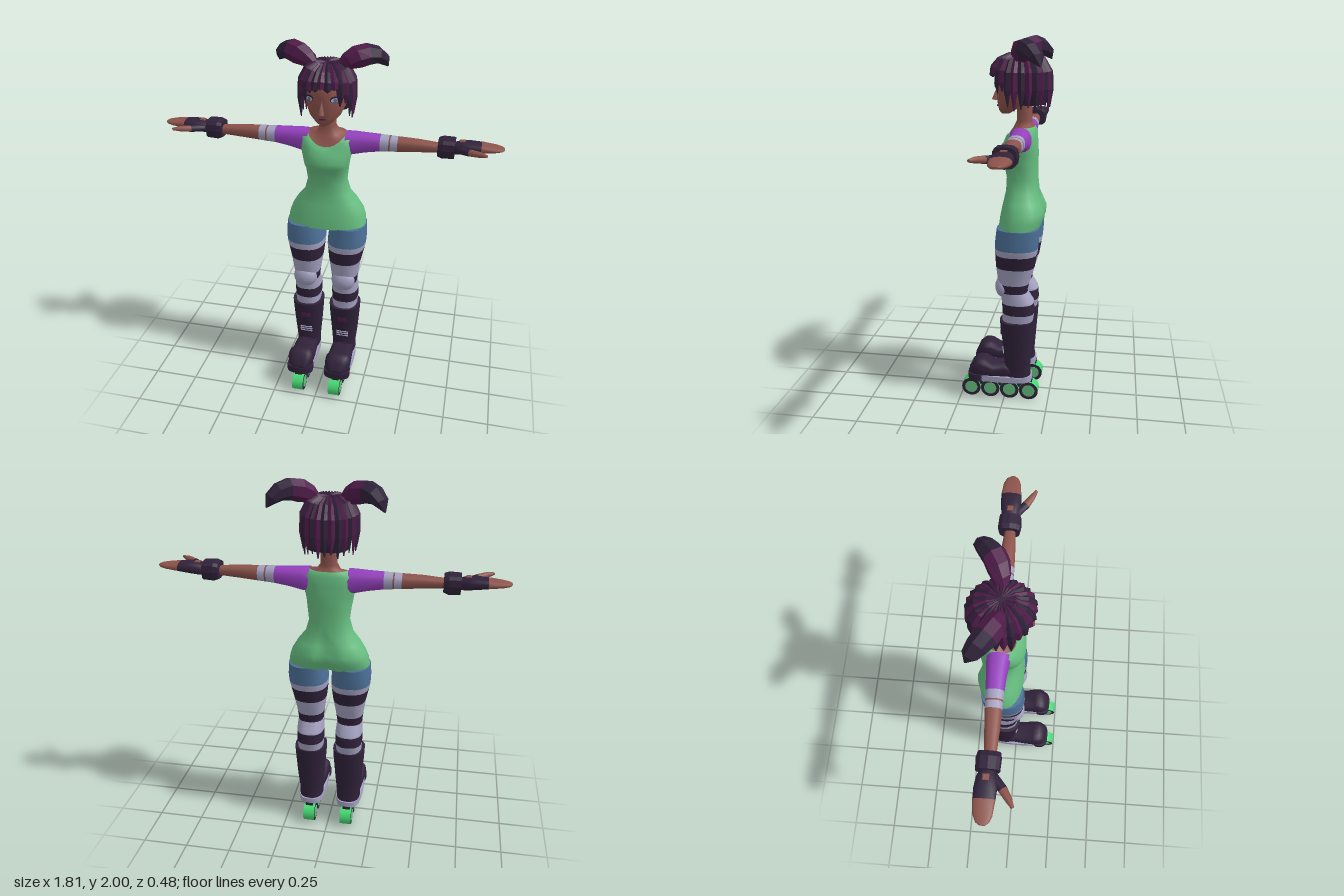
import * as THREE from 'three';

const mat = (name, color) => Object.assign(new THREE.MeshStandardMaterial({ color }), { name });
const M = {
  skin: mat('skin brown', 0x8c534b),
  green: mat('suit green', 0x66bd80),
  purple: mat('sleeve purple', 0x9540bd),
  blue: mat('shorts blue', 0x4d7199),
  lav: mat('pale lavender', 0xa3a1c0),
  dark: mat('dark plum', 0x30223a),
  wine: mat('hair burgundy', 0x501c4a),
  wheel: mat('wheel green', 0x45d872),
};
const V = (x, y, z) => new THREE.Vector3(x, y, z);

// Closed skin over a list of rings; one material per ring interval.
function skinMesh(name, rings, mats, flat = false) {
  const pos = [], idx = [], n = rings[0].length, used = [...new Set(mats)];
  const geo = new THREE.BufferGeometry();
  rings.forEach(r => r.forEach(p => pos.push(p.x, p.y, p.z)));
  const cap = (ring, flip) => {
    const b = pos.length / 3;
    const c = ring.reduce((a, p) => a.add(p), V(0, 0, 0)).divideScalar(n);
    [...ring, c].forEach(p => pos.push(p.x, p.y, p.z));
    for (let i = 0; i < n; i++) {
      const j = (i + 1) % n;
      idx.push(b + n, b + (flip ? j : i), b + (flip ? i : j));
    }
  };
  mats.forEach((m, k) => {
    const start = idx.length;
    if (k === 0) cap(rings[0], true);
    for (let i = 0; i < n; i++) {
      const a = k * n + i, b = k * n + (i + 1) % n;
      idx.push(a, b, b + n, a, b + n, a + n);
    }
    if (k === mats.length - 1) cap(rings[k + 1], false);
    geo.addGroup(start, idx.length - start, used.indexOf(m));
  });
  // Turn every face outward by the sign of the enclosed volume.
  let vol = 0;
  const P = i => V(pos[3 * i], pos[3 * i + 1], pos[3 * i + 2]);
  for (let i = 0; i < idx.length; i += 3) vol += P(idx[i]).dot(P(idx[i + 1]).cross(P(idx[i + 2])));
  if (vol < 0) for (let i = 0; i < idx.length; i += 3) [idx[i], idx[i + 1]] = [idx[i + 1], idx[i]];
  geo.setAttribute('position', new THREE.Float32BufferAttribute(pos, 3));
  geo.setIndex(idx);
  const out = flat ? geo.toNonIndexed() : geo;
  out.computeVertexNormals();
  if (used.length === 1) out.clearGroups();
  const mesh = new THREE.Mesh(out, used.length === 1 ? used[0] : used);
  mesh.name = name;
  return mesh;
}

// Loft along an axis. Section: [s, u0, u1, v0, v1]; bands: [end, material].
function loft(name, axis, secs, bands, { p = 2.4, n = 20, warp = q => q, flat = false } = {}) {
  const dir = Math.sign(secs[secs.length - 1][0] - secs[0][0]), rows = [];
  secs.forEach((s, i) => {
    rows.push(s);
    const t = secs[i + 1];
    if (t) bands.forEach(([e]) => {
      const k = (e - s[0]) / (t[0] - s[0]);
      if (k > 0.001 && k < 0.999) rows.push(s.map((a, j) => a + (t[j] - a) * k));
    });
  });
  const rings = rows.map(([s, u0, u1, v0, v1, dip = 0]) => Array.from({ length: n }, (_, i) => {
    const a = (i / n) * Math.PI * 2, f = c => Math.sign(c) * Math.abs(c) ** (2 / p);
    const u = (u0 + u1) / 2 + f(Math.cos(a)) * (u1 - u0) / 2;
    const v = (v0 + v1) / 2 + f(Math.sin(a)) * (v1 - v0) / 2;
    return warp(axis === 'y' ? V(u, s, v) : axis === 'x' ? V(s, u, v) : V(u, v, s), dip, (v0 + v1) / 2);
  }));
  const mats = rows.slice(1).map((r, i) => {
    const mid = (r[0] + rows[i][0]) / 2;
    return (bands.find(([e]) => dir * (mid - e) < 0) || bands[bands.length - 1])[1];
  });
  return skinMesh(name, rings, mats, flat);
}

// Tapered lock swept along a curve; radii: [sideways, thickness] per point.
function sweep(name, pts, radii, side, mats, n = 6, flat = true) {
  const curve = new THREE.CatmullRomCurve3(pts);
  const rings = radii.map(([w, t], k) => {
    const u = k / (radii.length - 1), c = curve.getPoint(u);
    const out = curve.getTangent(u).cross(side).normalize();
    return Array.from({ length: n }, (_, i) => {
      const a = (i / n) * Math.PI * 2;
      return c.clone().addScaledVector(side, Math.cos(a) * w).addScaledVector(out, Math.sin(a) * t);
    });
  });
  return skinMesh(name, rings, mats, flat);
}

function place(name, geo, m, x, y, z) {
  const mesh = new THREE.Mesh(geo, m);
  mesh.name = name;
  mesh.position.set(x, y, z);
  return mesh;
}

// Mirrored copy across x, with the winding put right.
function mirror(mesh) {
  mesh.updateMatrix();
  const g = mesh.geometry.clone().applyMatrix4(mesh.matrix).scale(-1, 1, 1);
  if (!g.index) g.setIndex([...Array(g.attributes.position.count).keys()]);
  const ix = g.index.array;
  for (let i = 0; i < ix.length; i += 3) [ix[i], ix[i + 1]] = [ix[i + 1], ix[i]];
  return place(mesh.name.replace('left', 'right'), g, mesh.material, 0, 0, 0);
}

function buildLeg() {
  const parts = [loft('leftLeg', 'y', [
    [1.02, .02, .22, -.19, .04], [.95, .012, .225, -.187, .048], [.9, .009, .222, -.182, .05],
    [.8, .02, .2, -.165, .045], [.72, .032, .187, -.14, .035], [.66, .04, .18, -.125, .02],
    [.6, .034, .185, -.162, .015], [.54, .034, .185, -.167, .01], [.46, .04, .18, -.155, .01],
  ], [[.91, M.blue], [.875, M.lav], [.8, M.dark], [.705, M.lav], [.655, M.dark], [.59, M.lav], [.53, M.dark], [0, M.lav]])];
  const knee = place('leftKneePad', new THREE.SphereGeometry(1, 14, 10), M.lav, .11, .68, .005);
  knee.scale.set(.068, .062, .046);
  // Boot shaft, foot and sole
  parts.push(knee,
    loft('leftBootShaft', 'y', [
      [.485, .02, .2, -.165, .025], [.43, .023, .197, -.162, .02], [.3, .033, .187, -.152, .004],
      [.2, .042, .176, -.145, 0], [.14, .042, .177, -.15, .01]], [[0, M.dark]]),
    loft('leftBootFoot', 'z', [
      [-.1, .048, .172, .14, .19], [.0, .045, .175, .13, .225], [.06, .04, .18, .13, .212],
      [.11, .037, .185, .13, .24], [.15, .038, .184, .13, .24], [.18, .05, .17, .135, .215],
      [.2, .075, .145, .14, .17]], [[1, M.dark]], { p: 2.8 }),
    loft('leftSole', 'y', [[.118, .036, .184, -.158, .2], [.152, .036, .184, -.158, .2]], [[0, M.lav]], { p: 3.2 }),
    loft('leftToeGuard', 'y', [[.116, .034, .187, .1, .206], [.156, .034, .187, .1, .206]], [[0, M.dark]], { p: 2.6 }),
    place('leftWheelFrame', new THREE.BoxGeometry(.042, .055, .36), M.dark, .11, .095, .022));
  // Laces and patches
  [.285, .3, .315].forEach(y => parts.push(place('leftBootLace', new THREE.BoxGeometry(.07, .006, .008), M.lav, .11, y, y * .12 - .033)));
  [[.41, .016], [.215, .001]].forEach(([y, z]) => parts.push(place('leftBootPatch', new THREE.BoxGeometry(.05, .028, .008), M.wine, .11, y, z)));
  // Four wheels in line
  const tyre = new THREE.CylinderGeometry(.054, .054, .064, 20).rotateZ(Math.PI / 2);
  const hub = new THREE.CylinderGeometry(.036, .036, .068, 16).rotateZ(Math.PI / 2);
  [.19, .08, -.03, -.14].forEach(z => parts.push(
    place('leftWheel', tyre, [M.wheel, M.dark, M.dark], .108, .054, z),
    place('leftWheelHub', hub, M.green, .108, .054, z)));
  return parts;
}

function buildArm() {
  return [
    loft('leftArm', 'x', [
      [.1, 1.42, 1.548, -.14, -.02], [.14, 1.428, 1.548, -.14, -.028], [.2, 1.442, 1.545, -.135, -.035],
      [.28, 1.455, 1.542, -.13, -.04], [.37, 1.462, 1.538, -.125, -.042], [.47, 1.47, 1.535, -.118, -.045],
      [.59, 1.478, 1.525, -.108, -.052],
    ], [[.28, M.purple], [.325, M.lav], [.333, M.skin], [.37, M.lav], [1, M.skin]], { n: 14 }),
    loft('leftWristCuff', 'x', [[.575, 1.462, 1.548, -.138, -.03], [.6, 1.452, 1.557, -.145, -.025], [.66, 1.455, 1.555, -.142, -.028]],
      [[1, M.dark]], { p: 3, n: 12, flat: true }),
    loft('leftHand', 'x', [
      [.65, 1.475, 1.53, -.118, -.05], [.69, 1.478, 1.545, -.135, -.04], [.74, 1.485, 1.545, -.142, -.034],
      [.8, 1.495, 1.54, -.142, -.038], [.86, 1.503, 1.532, -.135, -.045], [.892, 1.508, 1.527, -.12, -.058],
      [.905, 1.512, 1.523, -.1, -.075]], [[.79, M.dark], [1, M.skin]], { n: 14 }),
    sweep('leftThumb', [V(.68, 1.505, -.06), V(.74, 1.515, -.01), V(.785, 1.522, .02), V(.82, 1.525, .04)],
      [[.022, .02], [.022, .018], [.017, .015], [.008, .007]], V(-.6, 0, .8), [M.dark, M.skin, M.skin], 8, false),
    place('leftHandOpening', new THREE.BoxGeometry(.028, .006, .03), M.skin, .695, 1.544, -.088),
  ];
}

// Eye, brow and bunch of hair for one side of the head
function buildHeadSide() {
  const parts = [];
  const disc = (name, m, rx, ry, x, y, z) => {
    const d = place(name, new THREE.CircleGeometry(1, 16), m, x, y, z);
    d.scale.set(rx, ry, 1);
    d.rotation.y = .6;
    parts.push(d);
  };
  disc('leftEyeLash', M.dark, .028, .016, .065, 1.757, .047);
  disc('leftEye', M.lav, .023, .011, .0655, 1.754, .049);
  disc('leftIris', M.blue, .009, .01, .0665, 1.754, .051);
  parts.push(sweep('leftPigtail',
    [V(.06, 1.89, -.06), V(.12, 1.925, -.08), V(.19, 1.945, -.115), V(.25, 1.925, -.165), V(.285, 1.87, -.2)],
    [[.02, .02], [.045, .045], [.058, .058], [.058, .055], [.052, .045], [.04, .034], [.004, .004]],
    V(.57, 0, .82), [M.wine, M.wine, M.wine, M.dark, M.dark, M.dark], 7));
  return parts;
}

function buildHair() {
  const hair = new THREE.Group();
  hair.name = 'hair';
  hair.add(loft('hairCap', 'y', [
    [1.66, -.1, .1, -.2, -.06], [1.72, -.122, .122, -.215, -.03], [1.79, -.128, .128, -.208, .005],
    [1.825, -.128, .128, -.195, .065], [1.875, -.1, .1, -.16, .05], [1.91, -.05, .05, -.11, 0]],
    [[0, M.dark]], { p: 2.1, n: 16, flat: true }));
  // Locks fan out from the crown and hang down, short over the face
  const count = 26;
  for (let i = 0; i < count; i++) {
    const a = (i / count) * Math.PI * 2, sx = Math.sin(a), cz = Math.cos(a);
    const off = Math.min(a, Math.PI * 2 - a);
    const tip = (off < .2 ? 1.815 : off < .7 ? 1.785 : off < 1.1 ? 1.72 : 1.635) + (i % 3) * .01;
    const at = (k, y) => V(sx * .132 * k, y, -.07 + cz * (cz > 0 ? .145 : .148) * k);
    const low = Math.min(1, (1.86 - tip) / .2);
    hair.add(sweep('hairLock',
      [at(.1, 1.905), at(.5, 1.898), at(.9, 1.86), at(1.04, 1.84 - .08 * low), at(.98 + .03 * low, tip)],
      [[.008, .008], [.016, .018], [.024, .02], [.026, .018], [.02, .014], [.003, .003]],
      V(cz, 0, -sx), Array(5).fill(i % 2 ? M.dark : M.wine), 4));
  }
  return hair;
}

export function createModel() {
  const model = new THREE.Group();
  model.name = 'skater';

  // Suit and neck; the rows dip at the front for the neckline, and crease at the seat
  model.add(loft('torso', 'y', [
    [1.015, -.218, .218, -.19, .04], [1.06, -.212, .212, -.207, .034], [1.1, -.198, .198, -.212, .027],
    [1.15, -.168, .168, -.192, .016], [1.2, -.127, .127, -.172, .005], [1.27, -.107, .107, -.165, .002],
    [1.34, -.115, .115, -.165, .014], [1.37, -.12, .12, -.165, .042], [1.4, -.125, .125, -.165, .046],
    [1.44, -.135, .135, -.163, .034], [1.475, -.14, .14, -.16, .018, .015], [1.52, -.138, .138, -.157, .008, .045],
    [1.545, -.1, .1, -.145, -.002, .065], [1.552, -.06, .06, -.135, -.03, .02], [1.575, -.042, .042, -.13, -.05],
    [1.67, -.042, .042, -.13, -.05],
  ], [[1.545, M.green], [2, M.skin]], {
    n: 28,
    warp: (q, dip, mid) => {
      if (q.z > mid) q.y -= dip * Math.max(0, 1 - (q.x / .11) ** 2);
      else if (q.y < 1.18) q.z += .025 * Math.exp(-((q.x / .035) ** 2));
      return q;
    },
  }));

  // Head with nose and lips
  model.add(loft('head', 'y', [
    [1.607, -.018, .018, -.01, .032], [1.625, -.045, .045, -.04, .045], [1.655, -.078, .078, -.09, .051],
    [1.7, -.1, .1, -.15, .056], [1.77, -.113, .113, -.17, .06], [1.83, -.11, .11, -.165, .05],
    [1.88, -.07, .07, -.13, .01]], [[2, M.skin]], { p: 2, n: 18 }));
  const nose = place('nose', new THREE.ConeGeometry(.018, .07, 4).rotateY(Math.PI / 4), M.skin, 0, 1.712, .062);
  nose.rotation.x = -.2;
  model.add(nose, place('lips', new THREE.BoxGeometry(.032, .008, .008), M.wine, 0, 1.65, .049));
  model.add(buildHair());

  // Paired parts on both sides
  [...buildLeg(), ...buildArm(), ...buildHeadSide()].forEach(part => model.add(part, mirror(part)));
  return model;
}
